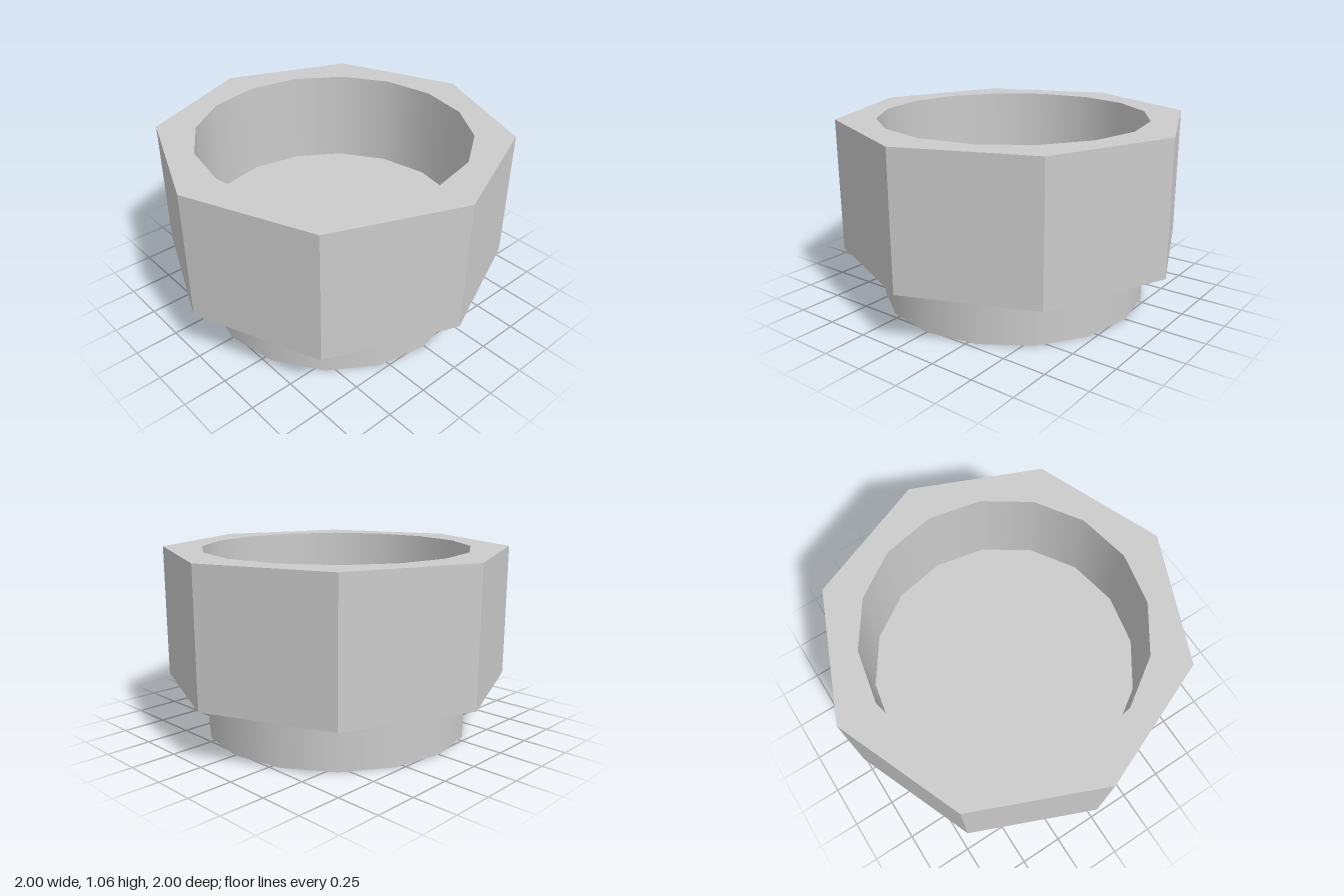
import * as THREE from 'three';

const OUTER = 1, BORE = 0.775, TOP = 1.06, COLLAR = 0.3, FLOOR = 0.5;

export function createModel() {
  const group = new THREE.Group();
  const add = (name, geometry, y, options = {}) => {
    const mesh = new THREE.Mesh(geometry, new THREE.MeshStandardMaterial({ color: 0xcccccc, ...options }));
    mesh.name = name;
    mesh.position.y = y;
    group.add(mesh);
    return mesh;
  };
  const wall = (r, y0, y1, sides) => new THREE.CylinderGeometry(r, r, y1 - y0, sides, 1, true);
  const polygon = (r, n) => Array.from({ length: n }, (_, i) => {
    const a = (i / n) * Math.PI * 2;
    return new THREE.Vector2(Math.cos(a) * r, Math.sin(a) * r);
  });

  // Octagonal ring faces with a sixteen-sided opening
  const ringShape = new THREE.Shape(polygon(OUTER, 8));
  ringShape.holes.push(new THREE.Path(polygon(BORE, 16)));
  const ring = new THREE.ShapeGeometry(ringShape);
  const disc = new THREE.CircleGeometry(BORE, 16);
  const up = -Math.PI / 2, down = Math.PI / 2;

  // Octagonal head
  add('headSides', wall(OUTER, COLLAR, TOP, 8), (COLLAR + TOP) / 2, { flatShading: true });
  add('headRim', ring, TOP).rotation.x = up;
  add('headUnderside', ring, COLLAR).rotation.x = down;

  // Round recess, open at the top
  add('recessWall', wall(BORE, FLOOR, TOP, 16), (FLOOR + TOP) / 2, { side: THREE.BackSide });
  add('recessFloor', disc, FLOOR).rotation.x = up;

  // Round collar below the head
  add('collarWall', wall(BORE, 0, COLLAR, 16), COLLAR / 2);
  add('collarBottom', disc, 0).rotation.x = down;

  return group;
}
